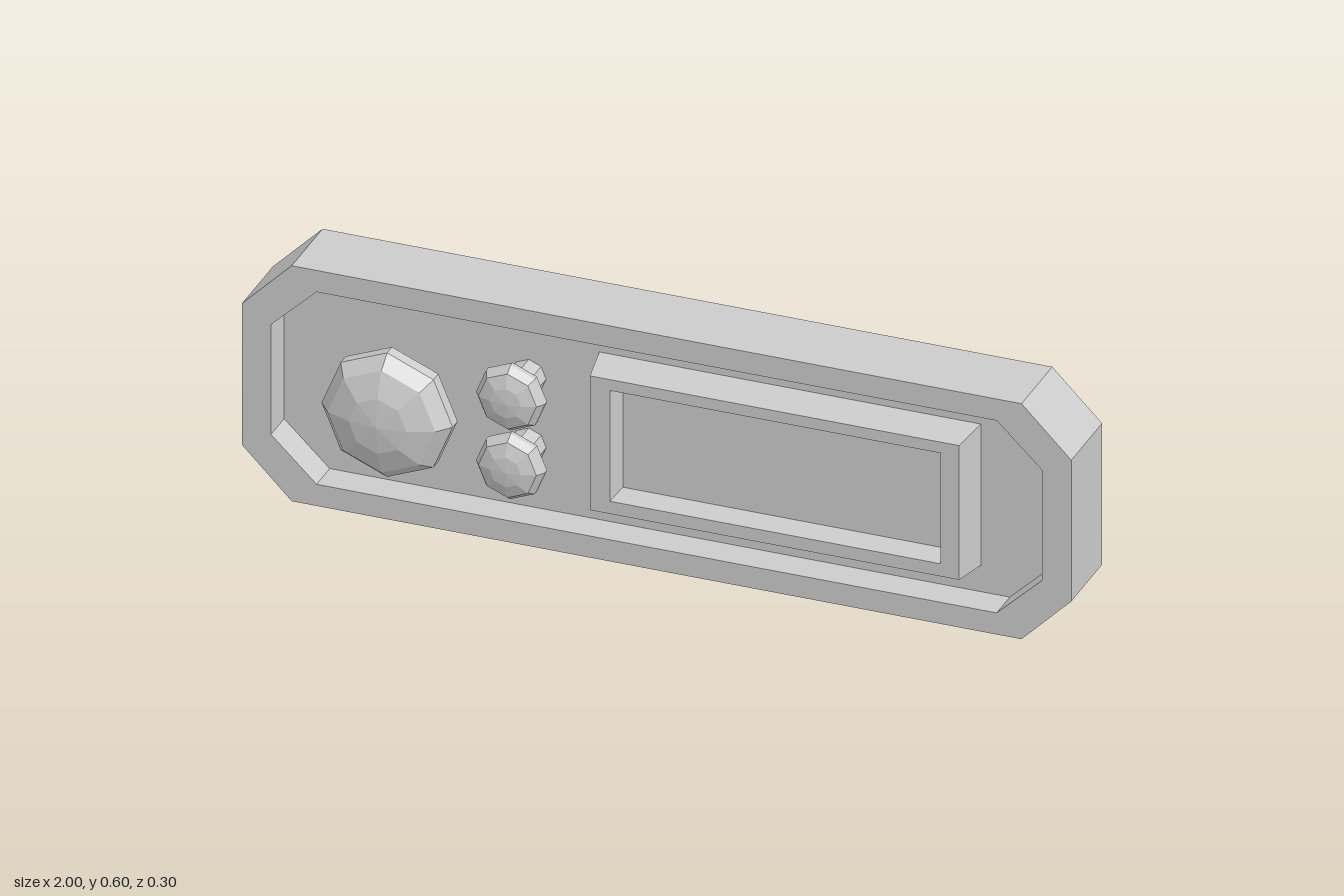
import * as THREE from 'three';

const material = new THREE.MeshStandardMaterial({
  color: 0xcccccc, flatShading: true, side: THREE.DoubleSide,
});
const PANEL_Z = -0.045;
const SCREEN_Z = -0.01;

function addMesh(parent, name, geometry) {
  const mesh = new THREE.Mesh(geometry, material);
  mesh.name = name;
  parent.add(mesh);
  return mesh;
}

// Counter-clockwise outlines in the xy plane
const rect = (x0, x1, y0, y1) => [[x0, y0], [x1, y0], [x1, y1], [x0, y1]];
function chamferedRect(w, y0, y1, cx, cy) {
  return [
    [w - cx, y0], [w, y0 + cy], [w, y1 - cy], [w - cx, y1],
    [cx - w, y1], [-w, y1 - cy], [-w, y0 + cy], [cx - w, y0],
  ];
}

// Skin a chain of closed outlines, each at its own depth
function loft(sections) {
  const positions = [];
  for (let s = 0; s < sections.length - 1; s++) {
    const [a, za] = sections[s];
    const [b, zb] = sections[s + 1];
    for (let i = 0; i < a.length; i++) {
      const j = (i + 1) % a.length;
      const p = [...a[i], za], q = [...a[j], za], r = [...b[j], zb], t = [...b[i], zb];
      positions.push(...p, ...q, ...r, ...p, ...r, ...t);
    }
  }
  const geometry = new THREE.BufferGeometry();
  geometry.setAttribute('position', new THREE.Float32BufferAttribute(positions, 3));
  geometry.computeVertexNormals();
  return geometry;
}

function flatFace(outline, z, holes = []) {
  const toPoints = (pts) => pts.map(([x, y]) => new THREE.Vector2(x, y));
  const shape = new THREE.Shape(toPoints(outline));
  holes.forEach((h) => shape.holes.push(new THREE.Path(toPoints(h))));
  return new THREE.ShapeGeometry(shape).translate(0, 0, z);
}

// Eight-sided domed knob on a stem, profile given as [radius, z]
function addKnob(parent, name, x, y, profile) {
  const geometry = new THREE.LatheGeometry(
    profile.map(([r, z]) => new THREE.Vector2(r, z)), 8);
  geometry.rotateX(Math.PI / 2);
  addMesh(parent, name, geometry).position.set(x, y, 0);
}

export function createModel() {
  const group = new THREE.Group();

  // Open-backed casing: outer wall, front rim and recess wall
  const outer = chamferedRect(1, 0, 0.6, 0.12, 0.12);
  const inner = chamferedRect(0.93, 0.055, 0.545, 0.11, 0.105);
  addMesh(group, 'casing', loft([
    [outer, -0.152], [outer, 0.035], [inner, 0.035], [inner, PANEL_Z],
  ]));

  // Recessed panel, pierced behind the display and the large knob
  const knobX = -0.63, knobY = 0.295, stemR = 0.055;
  const stemHole = Array.from({ length: 8 }, (_, i) => {
    const a = (i * Math.PI) / 4;
    return [knobX + stemR * Math.cos(a), knobY + stemR * Math.sin(a)];
  });
  const frameBase = rect(-0.17, 0.75, 0.122, 0.482);
  addMesh(group, 'panel', flatFace(inner, PANEL_Z, [frameBase, stemHole]));

  // Display: tapered raised frame around a sunken screen
  const display = new THREE.Group();
  display.name = 'display';
  group.add(display);
  const frameFront = rect(-0.154, 0.736, 0.131, 0.473);
  const opening = rect(-0.106, 0.691, 0.163, 0.445);
  const screenEdge = rect(-0.099, 0.684, 0.169, 0.439);
  addMesh(display, 'displayFrame', loft([
    [frameBase, PANEL_Z], [frameFront, 0.052], [opening, 0.052], [screenEdge, SCREEN_Z],
  ]));
  addMesh(display, 'screen', flatFace(rect(-0.164, 0.744, 0.126, 0.478), SCREEN_Z));

  // Large knob with a hollow stem closed a little way in
  addKnob(group, 'largeKnob', knobX, knobY, [
    [stemR, PANEL_Z], [stemR, 0.042], [0.147, 0.042], [0.158, 0.055],
    [0.158, 0.085], [0.13, 0.12], [0.07, 0.144], [0, 0.152],
  ]);
  addMesh(group, 'stemCap', flatFace(stemHole, -0.02));

  // Two small knobs, one above the other
  for (const [name, y] of [['upperKnob', 0.387], ['lowerKnob', 0.212]]) {
    addKnob(group, name, -0.34, y, [
      [0.042, PANEL_Z], [0.042, 0.042], [0.078, 0.046], [0.083, 0.053],
      [0.083, 0.066], [0.07, 0.085], [0.038, 0.097], [0, 0.101],
    ]);
  }

  return group;
}
